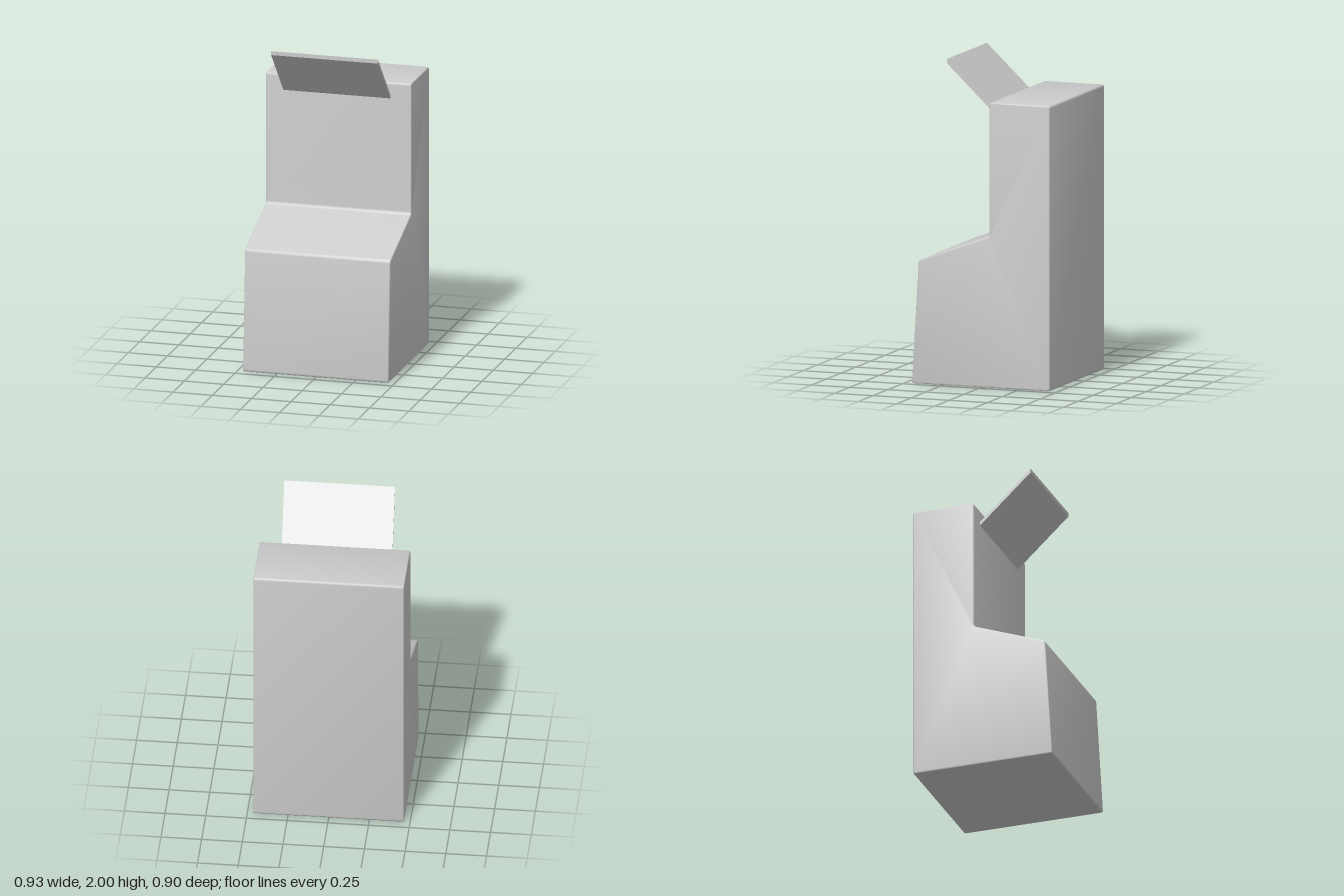
import * as THREE from 'three';
import { toCreasedNormals } from 'three/addons/utils/BufferGeometryUtils.js';

const material = new THREE.MeshStandardMaterial({ color: 0xcccccc });

// Closed side profile of [z, y] points, each corner rounded by r
function profile(points, r) {
  const v = points.map(([z, y]) => new THREE.Vector2(z, y));
  const shape = new THREE.Shape();
  v.forEach((p, i) => {
    const toward = (q) => p.clone().add(q.clone().sub(p).setLength(r));
    const a = toward(v[(i + v.length - 1) % v.length]);
    const b = toward(v[(i + 1) % v.length]);
    if (i === 0) shape.moveTo(a.x, a.y);
    else shape.lineTo(a.x, a.y);
    shape.quadraticCurveTo(p.x, p.y, b.x, b.y);
  });
  shape.closePath();
  return shape;
}

// Extrude a side profile across x, centred, with a soft bevel inside the outline
function acrossX(shape, width, bevel) {
  const geometry = new THREE.ExtrudeGeometry(shape, {
    depth: width - 2 * bevel,
    bevelEnabled: bevel > 0,
    bevelSize: bevel,
    bevelThickness: bevel,
    bevelOffset: -bevel,
    bevelSegments: 3,
    curveSegments: 4,
  });
  geometry.translate(0, 0, bevel - width / 2);
  return geometry.rotateY(-Math.PI / 2);
}

export function createModel() {
  const group = new THREE.Group();

  // Cabinet: deep base, sloping shelf and upright back section
  const outline = [
    [0.455, 0], [0.41, 0.765], [-0.053, 0.935],
    [-0.053, 1.765], [-0.45, 1.765], [-0.45, 0],
  ];
  const cabinet = new THREE.Mesh(
    toCreasedNormals(acrossX(profile(outline, 0.016), 0.925, 0.008), 0.7), material);
  cabinet.name = 'cabinet';
  group.add(cabinet);

  // Thin awning rising forward from the upright, slightly skewed sideways
  const slab = new THREE.Shape([
    [-0.055, 1.66], [0.27, 1.975], [0.27, 2], [-0.055, 1.685],
  ].map(([z, y]) => new THREE.Vector2(z, y)));
  const awningGeometry = acrossX(slab, 0.68, 0);
  const pos = awningGeometry.attributes.position;
  for (let i = 0; i < pos.count; i++) {
    pos.setX(i, pos.getX(i) - 0.008 + 0.046 * pos.getZ(i));
  }
  awningGeometry.computeVertexNormals();
  const awning = new THREE.Mesh(awningGeometry, material);
  awning.name = 'awning';
  group.add(awning);

  return group;
}
